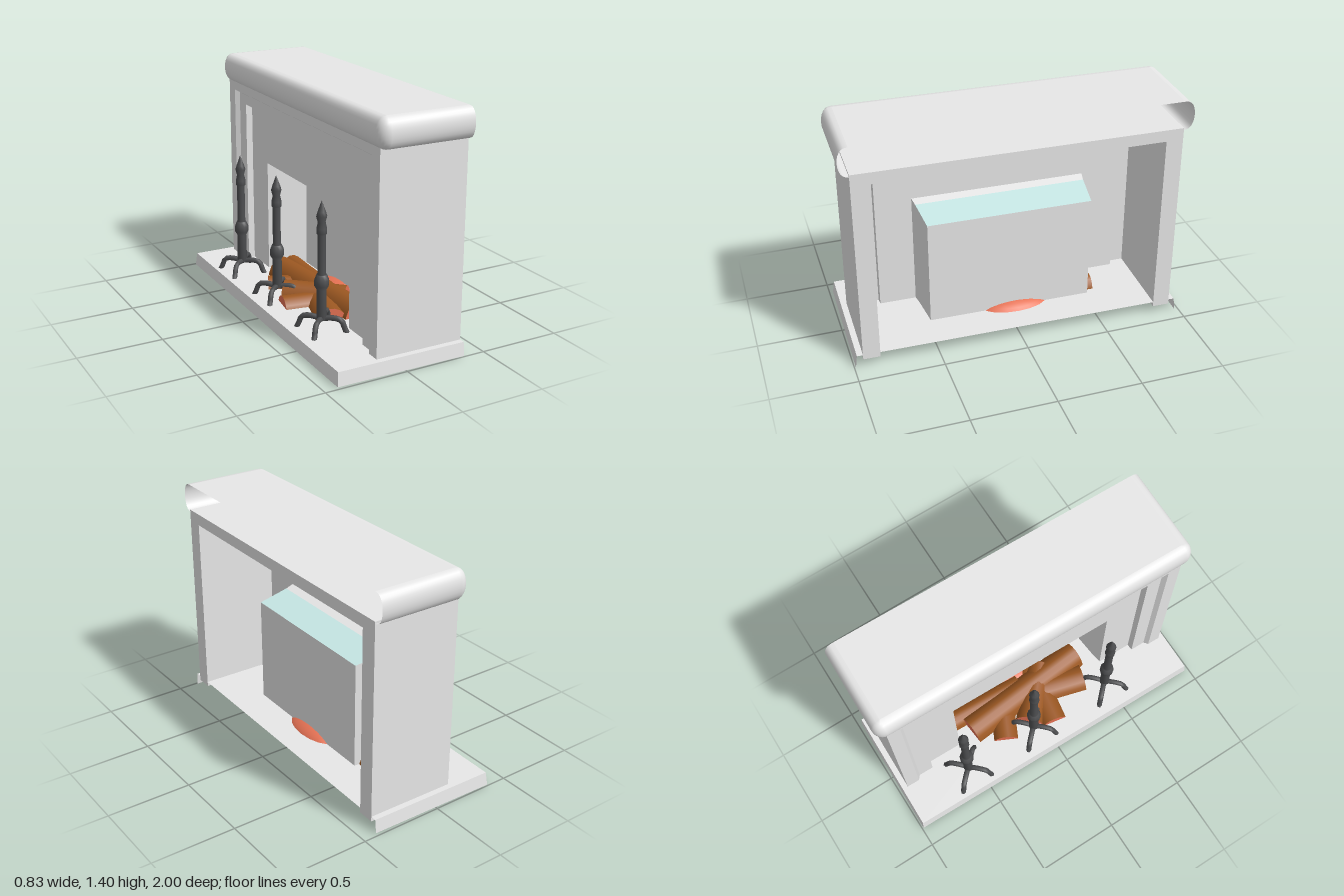
import * as THREE from 'three';

const mat = (name, color) =>
  Object.assign(new THREE.MeshStandardMaterial({ color, side: THREE.DoubleSide }), { name });

// Open surface made from flat quads, each given as four corners
function quads(list) {
  const pos = [];
  for (const [a, b, c, d] of list) pos.push(...a, ...b, ...c, ...a, ...c, ...d);
  const g = new THREE.BufferGeometry();
  g.setAttribute('position', new THREE.Float32BufferAttribute(pos, 3));
  g.computeVertexNormals();
  return g;
}

export function createModel() {
  const model = new THREE.Group();
  model.name = 'fireplace';
  const stone = mat('pale stone', 0xfafafa);
  const iron = mat('dark iron', 0x4e4f51);
  const bark = mat('brown bark', 0x9c5822);
  const cut = mat('orange cut wood', 0xff7f5e);
  const teal = mat('pale teal', 0xdcfffd);

  const add = (parent, name, geo, material) => {
    const m = new THREE.Mesh(geo, material);
    m.name = name;
    parent.add(m);
    return m;
  };

  // Masonry stands very slightly turned
  const masonry = new THREE.Group();
  masonry.name = 'masonry';
  masonry.rotation.y = -0.0175;
  model.add(masonry);

  const FLOOR = 0.08, SUNK = 0.05, BACK = 0.393;

  // Hearth slab: top, front and ends, open below and behind
  const lo = [-0.398, 0, 0.985], hi = [-0.39, FLOOR, 0.975];
  const at = (p, s, x = p[0]) => [x, p[1], s * p[2]];
  add(masonry, 'hearth', quads([
    [at(hi, -1), at(hi, 1), at(hi, 1, BACK), at(hi, -1, BACK)],
    [at(lo, -1), at(lo, 1), at(hi, 1), at(hi, -1)],
    ...[-1, 1].map(s => [at(lo, s), at(hi, s), at(hi, s, BACK), at(lo, s, BACK)]),
  ]), stone);

  // Door-shaped band between two outlines, each [x, half width, top]; walls sink into the hearth
  function band(name, a, b, topMaterial = stone) {
    const side = s => [
      [a[0], SUNK, s * a[1]], [a[0], a[2], s * a[1]],
      [b[0], b[2], s * b[1]], [b[0], SUNK, s * b[1]],
    ];
    add(masonry, name + 'Sides', quads([side(-1), side(1)]), stone);
    add(masonry, name + 'Top', quads([[
      [a[0], a[2], -a[1]], [a[0], a[2], a[1]], [b[0], b[2], b[1]], [b[0], b[2], -b[1]],
    ]]), topMaterial);
  }
  const outerBack = [BACK, 0.94, 1.24], outerFront = [-0.14, 0.94, 1.24];
  const innerBack = [BACK, 0.84, 1.17];
  const lip = [-0.14, 0.86, 1.185], inset = [-0.115, 0.84, 1.17];
  const step = [-0.115, 0.747, 1.108], panel = [-0.075, 0.744, 1.096];
  const opening = [-0.075, 0.525, 0.775], throat = [-0.02, 0.515, 0.763];
  const fireback = [0.18, 0.493, 0.73];
  band('outerWall', outerBack, outerFront);
  band('frontFrame', outerFront, lip);
  band('frameStep', lip, inset);
  band('insetFrame', inset, step);
  band('reveal', step, panel, cut);
  band('surround', panel, opening);
  band('openingEdge', opening, throat);
  band('firebox', throat, fireback, teal);
  band('backFrame', outerBack, innerBack);
  band('innerWall', innerBack, inset);
  const [fx, fw, fh] = fireback;
  add(masonry, 'fireback', quads([
    [[fx, SUNK, -fw], [fx, SUNK, fw], [fx, fh, fw], [fx, fh, -fw]],
  ]), stone);

  // Mantel: rounded edge swept round three sides, open at the back
  const path = [[BACK, -0.935, 0, -1]];
  for (const s of [-1, 1]) {
    for (let i = 0; i <= 6; i++) {
      const a = (s < 0 ? i : 6 - i) / 6 * Math.PI / 2;
      path.push([-0.105, s * 0.935, -Math.sin(a), s * Math.cos(a)]);
    }
  }
  path.push([BACK, 0.935, 0, 1]);
  const N = 12, pos = [], idx = [];
  path.forEach(([x, z, nx, nz], i) => {
    for (let j = 0; j <= N; j++) {
      const t = (j / N - 0.5) * Math.PI, out = 0.063 * Math.pow(Math.max(0, Math.cos(t)), 0.75);
      pos.push(x + nx * out, 1.315 + 0.087 * Math.sin(t), z + nz * out);
      if (i && j) {
        const p = i * (N + 1) + j, q = p - N - 1;
        idx.push(q - 1, p - 1, p, q - 1, p, q);
      }
    }
  });
  const edge = new THREE.BufferGeometry();
  edge.setAttribute('position', new THREE.Float32BufferAttribute(pos, 3));
  edge.setIndex(idx);
  edge.computeVertexNormals();
  add(masonry, 'mantelEdge', edge, stone);
  const slab = y => [[-0.105, y, -0.935], [-0.105, y, 0.935], [BACK, y, 0.935], [BACK, y, -0.935]];
  add(masonry, 'mantelTop', quads([slab(1.402)]), stone);
  add(masonry, 'mantelUnderside', quads([slab(1.228)]), stone);

  // Split logs, flat side down: end x, z to end x, z, half width, height
  const logs = [
    [-0.265, 0.055, 0.12, 0.12, 0.09, 0.1],
    [-0.2, -0.265, 0.1, -0.12, 0.085, 0.1],
    [-0.11, 0.37, 0.0, -0.02, 0.1, 0.105],
    [-0.03, -0.42, 0.05, 0.41, 0.1, 0.14],
    [0.09, -0.54, 0.07, 0.0, 0.075, 0.1],
    [-0.18, -0.08, 0.1, 0.18, 0.09, 0.13],
  ];
  logs.forEach(([x1, z1, x2, z2, w, h], i) => {
    const g = new THREE.CylinderGeometry(1, 1, 1, 9, 1, false, Math.PI / 2, Math.PI);
    g.rotateX(Math.PI / 2);
    g.scale(w, h, Math.hypot(x2 - x1, z2 - z1));
    const log = add(model, 'log' + (i + 1), g, [bark, cut, cut]);
    log.position.set((x1 + x2) / 2, 0.035 + i * 0.002, (z1 + z2) / 2);
    log.rotation.y = Math.atan2(x2 - x1, z2 - z1);
  });
  // Broad domed log end that comes out behind the fireback
  const dome = new THREE.SphereGeometry(1, 16, 6, 0, Math.PI * 2, 0, Math.PI / 2);
  const stub = add(model, 'backLogEnd', dome, cut);
  stub.scale.set(0.11, 0.085, 0.235);
  stub.position.set(0.15, 0.035, -0.03);

  // Spiked iron stands on four bent feet
  const profile = [
    [0, 0.13], [0.03, 0.14], [0.028, 0.32], [0.042, 0.345], [0.042, 0.38], [0.03, 0.41],
    [0.024, 0.41], [0.024, 0.645], [0.03, 0.65], [0.03, 0.68], [0.022, 0.715],
    [0.031, 0.75], [0.024, 0.775], [0, 0.84],
  ].map(p => new THREE.Vector2(...p));
  const post = new THREE.LatheGeometry(profile, 10);
  const footPath = new THREE.CatmullRomCurve3([
    [0, 0.145], [0.07, 0.155], [0.115, 0.145], [0.135, 0.1], [0.158, 0.055],
  ].map(([x, y]) => new THREE.Vector3(x, y, 0)));
  const foot = new THREE.TubeGeometry(footPath, 10, 0.016, 6);
  for (const [x, z] of [[-0.235, -0.565], [-0.23, -0.08], [-0.225, 0.46]]) {
    const stand = new THREE.Group();
    stand.name = 'ironStand';
    stand.position.set(x, 0, z);
    add(stand, 'post', post, iron);
    for (let k = 0; k < 4; k++) {
      add(stand, 'foot', foot, iron).rotation.y = Math.PI / 4 + k * Math.PI / 2;
    }
    model.add(stand);
  }
  return model;
}
